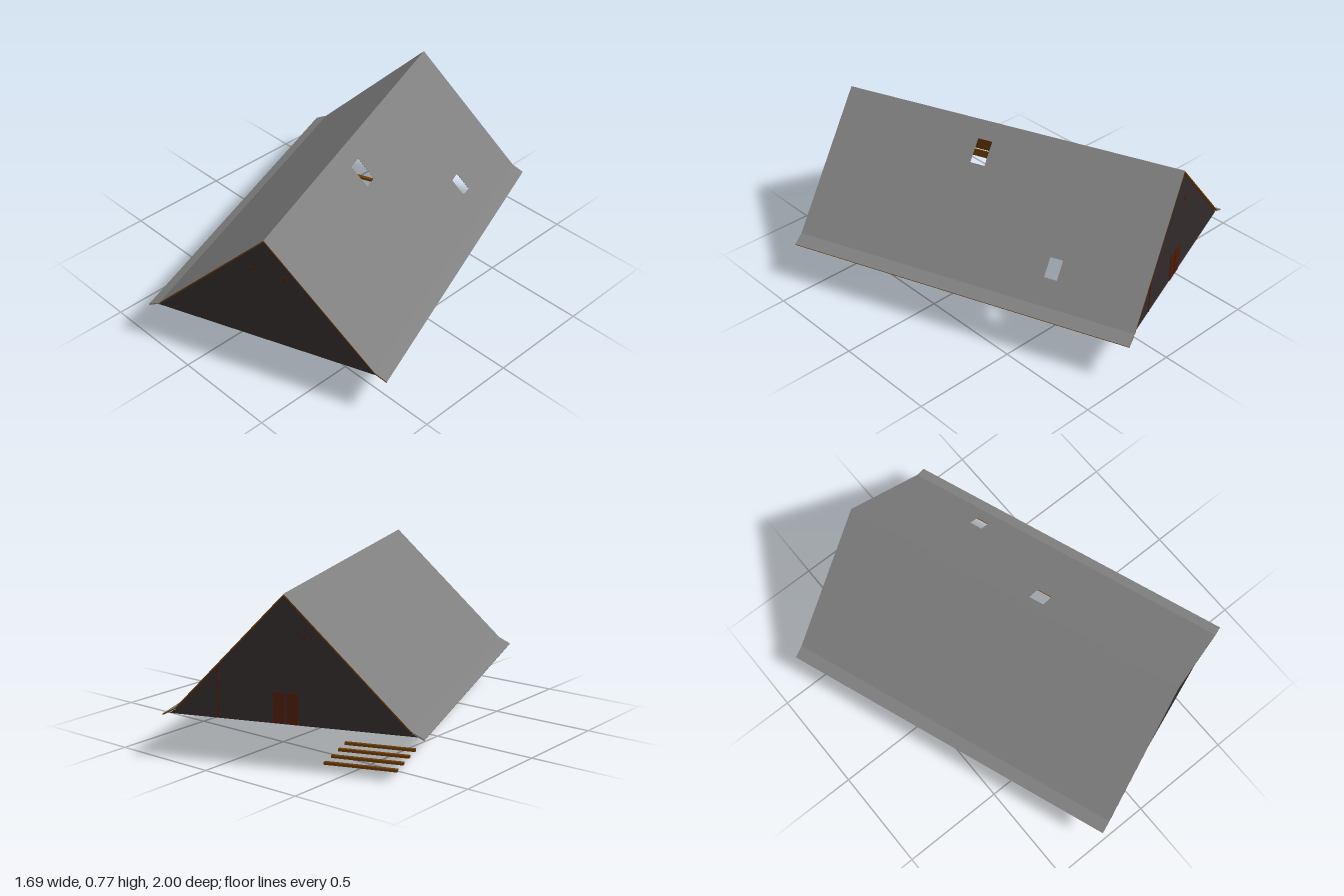
import * as THREE from 'three';

const mat = (name, color) => {
  const m = new THREE.MeshStandardMaterial({ color });
  m.name = name;
  return m;
};
const shapeOf = (points) => new THREE.Shape(points.map(p => new THREE.Vector2(...p)));

export function createModel() {
  const slate = mat('slate grey', 0x808080);
  const timber = mat('brown timber', 0x6b3a02);
  const cladding = mat('dark cladding', 0x322a2b);
  const plaster = mat('pale plaster', 0xe2e2e2);
  const door = mat('red brown', 0x4a1c06);

  const house = new THREE.Group();
  house.name = 'house';
  const add = (name, geo, material, x = 0, y = 0, z = 0) => {
    const m = new THREE.Mesh(geo, material);
    m.name = name;
    m.position.set(x, y, z);
    house.add(m);
  };

  const L = 1.696, H = L / 2, T = 0.006;
  const ridge = [0.02, 0.77], kneeX = 0.53, kneeY = 0.232, eaveX = 0.587, eaveY = 0.203;

  // Roof panel between two profile points: grey top, brown board below.
  // The board is set back at its upper edge and around the openings.
  function panel(name, [x0, y0], [x1, y1], edge, openings = []) {
    const side = Math.sign(x1 - x0);
    const len = Math.hypot(x1 - x0, y1 - y0);
    const k = len / Math.abs(x1 - x0);
    const outline = (inset) => {
      const shape = shapeOf([[-H, inset], [H, inset], [H, len], [-H, len]]);
      for (const [x, z, w, l] of openings) {
        const v = Math.abs(x - x0) * k, a = (w * k) / 2 + inset, b = l / 2 + inset, u = z * side;
        shape.holes.push(shapeOf([[u - b, v - a], [u - b, v + a], [u + b, v + a], [u + b, v - a]]));
      }
      return shape;
    };
    const along = new THREE.Vector3(0, 0, side);
    const down = new THREE.Vector3(x1 - x0, y1 - y0, 0).normalize();
    const out = along.clone().cross(down);
    const frame = new THREE.Matrix4().makeBasis(along, down, out).setPosition(x0, y0, 0);
    add(name + 'Top', new THREE.ShapeGeometry(outline(0)).applyMatrix4(frame), slate);
    const board = new THREE.ExtrudeGeometry(outline(T), { depth: T - 0.001, bevelEnabled: false });
    add(name + 'Board', board.translate(0, 0, -T).applyMatrix4(frame), [timber, edge]);
  }

  const wallZ = H - 0.016;

  // Two slopes with flared eaves; skylight openings (x, z, width, length) on the left slope
  const skylights = [[0.122, 0.096, 0.08, 0.072], [0.412, -0.409, 0.064, 0.062]];
  for (const s of [1, -1]) {
    const label = s > 0 ? 'left' : 'right';
    panel(label + 'Slope', ridge, [s * kneeX, kneeY], timber, s > 0 ? skylights : []);
    panel(label + 'Eave', [s * kneeX, kneeY], [s * eaveX, eaveY], s > 0 ? timber : slate);
    // Wedge-shaped wall plate tucked under the slope, between the gables
    const plate = shapeOf([[0.485, 0.25], [0.485, 0.208], [0.548, 0.208], [0.515, 0.226]].map(([x, y]) => [s * x, y]));
    const length = 2 * wallZ - 0.022;
    add(label + 'WallPlate', new THREE.ExtrudeGeometry(plate, { depth: length, bevelEnabled: false }), timber, 0, 0, -length / 2);
  }

  // Gable walls: dark outside, pale inside
  const gable = shapeOf([
    [-0.56, 0.205], [0.56, 0.205], [kneeX, kneeY - 0.008], [ridge[0], ridge[1] - 0.008], [-kneeX, kneeY - 0.008],
  ]);
  const gableFace = (towardsBack) => {
    const g = new THREE.ShapeGeometry(gable);
    if (towardsBack) {
      g.setIndex(Array.from(g.index.array).reverse());
      g.computeVertexNormals();
    }
    return g;
  };
  for (const s of [1, -1]) {
    const label = s > 0 ? 'front' : 'back';
    add(label + 'GableOutside', gableFace(s < 0), cladding, 0, 0, s * wallZ);
    add(label + 'GableInside', gableFace(s > 0), plaster, 0, 0, s * (wallZ - 0.01));
  }

  // Small attic windows: two in front, one at the back
  for (const [x, s] of [[-0.056, 1], [0.104, 1], [-0.064, -1]])
    add('atticWindow', new THREE.BoxGeometry(0.018, 0.022, 0.006), door, x, 0.58, s * wallZ);

  // Back double door and narrow post
  for (const x of [-0.008, 0.052])
    add('backDoorLeaf', new THREE.BoxGeometry(0.052, 0.138, 0.006), door, x, 0.275, -wallZ);
  add('backPost', new THREE.BoxGeometry(0.006, 0.22, 0.006), door, 0.328, 0.317, -wallZ);

  // Ground sleepers
  for (let i = 0; i < 4; i++)
    add('groundSleeper', new THREE.BoxGeometry(0.328, 0.012, 0.018), timber, -0.268, 0.006, -0.56 + (i - 1.5) * 0.095);

  house.rotation.y = Math.atan2(0.348, 0.9375);
  const model = new THREE.Group();
  model.name = 'model';
  model.add(house);
  return model;
}
